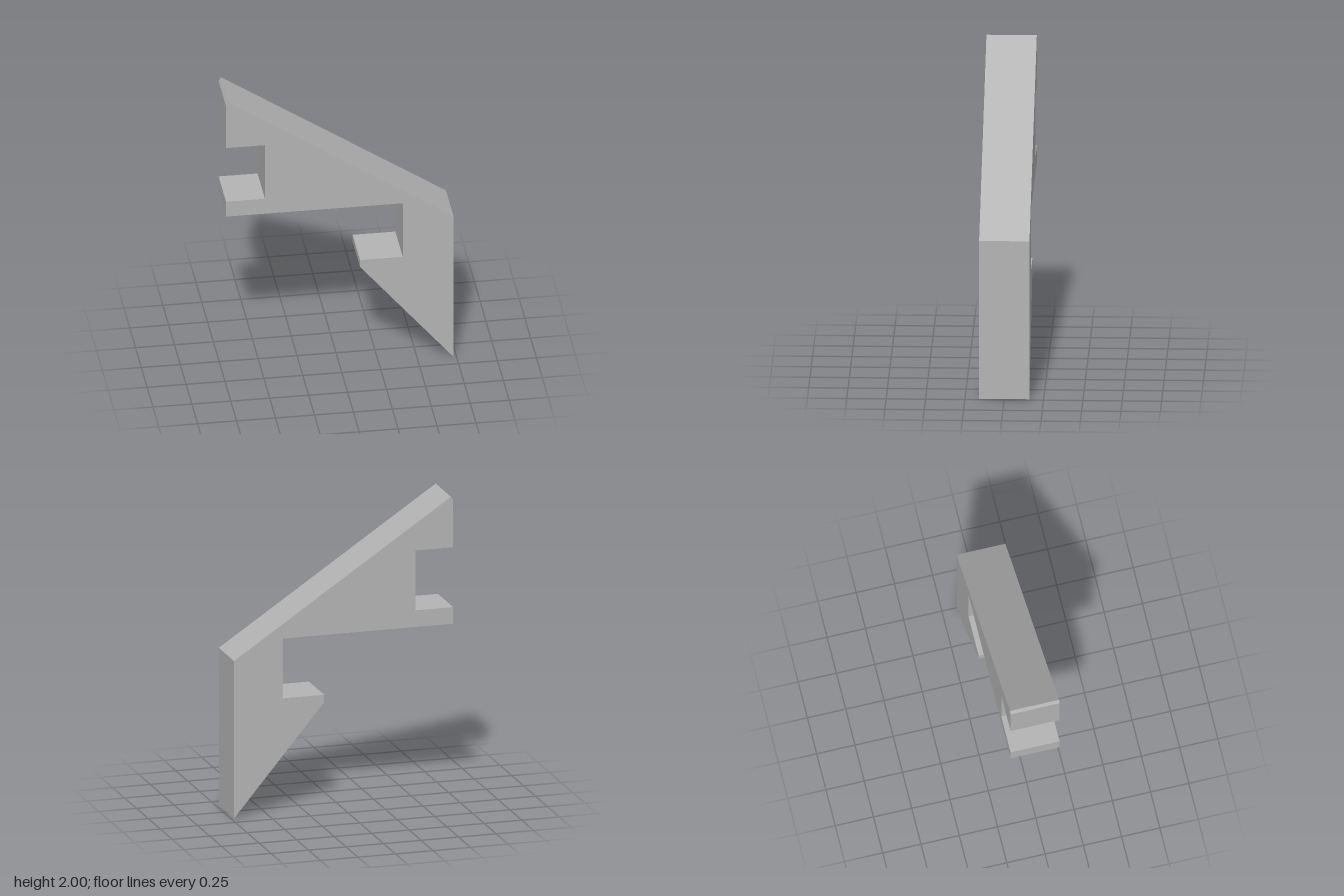
import * as THREE from 'three';

const DEPTH = 0.32;

export function createModel() {
  const group = new THREE.Group();
  group.name = 'bracket';

  const grey = new THREE.MeshStandardMaterial({ color: 0xb4b4b4 });
  grey.name = 'plain grey';

  // Side outline, counter-clockwise from the bottom tip
  const outline = [
    [0.73, 0], [0.73, 1.04],                              // outer upright
    [-0.715, 2], [-0.73, 1.975],                          // slope and clipped peak
    [-0.73, 1.665], [-0.48, 1.665],                       // upper notch
    [-0.48, 1.27], [-0.73, 1.27],
    [-0.73, 1.16], [0.405, 1.16],                         // underside of the arm
    [0.405, 0.765], [0.13, 0.765], [0.13, 0.715],         // lower ledge
  ];
  const shape = new THREE.Shape(outline.map(([x, y]) => new THREE.Vector2(x, y)));

  // Flat plate of even thickness, centred on z
  const geometry = new THREE.ExtrudeGeometry(shape, { depth: DEPTH, bevelEnabled: false });
  geometry.translate(0, 0, -DEPTH / 2);

  const body = new THREE.Mesh(geometry, grey);
  body.name = 'bracketBody';
  group.add(body);
  return group;
}
